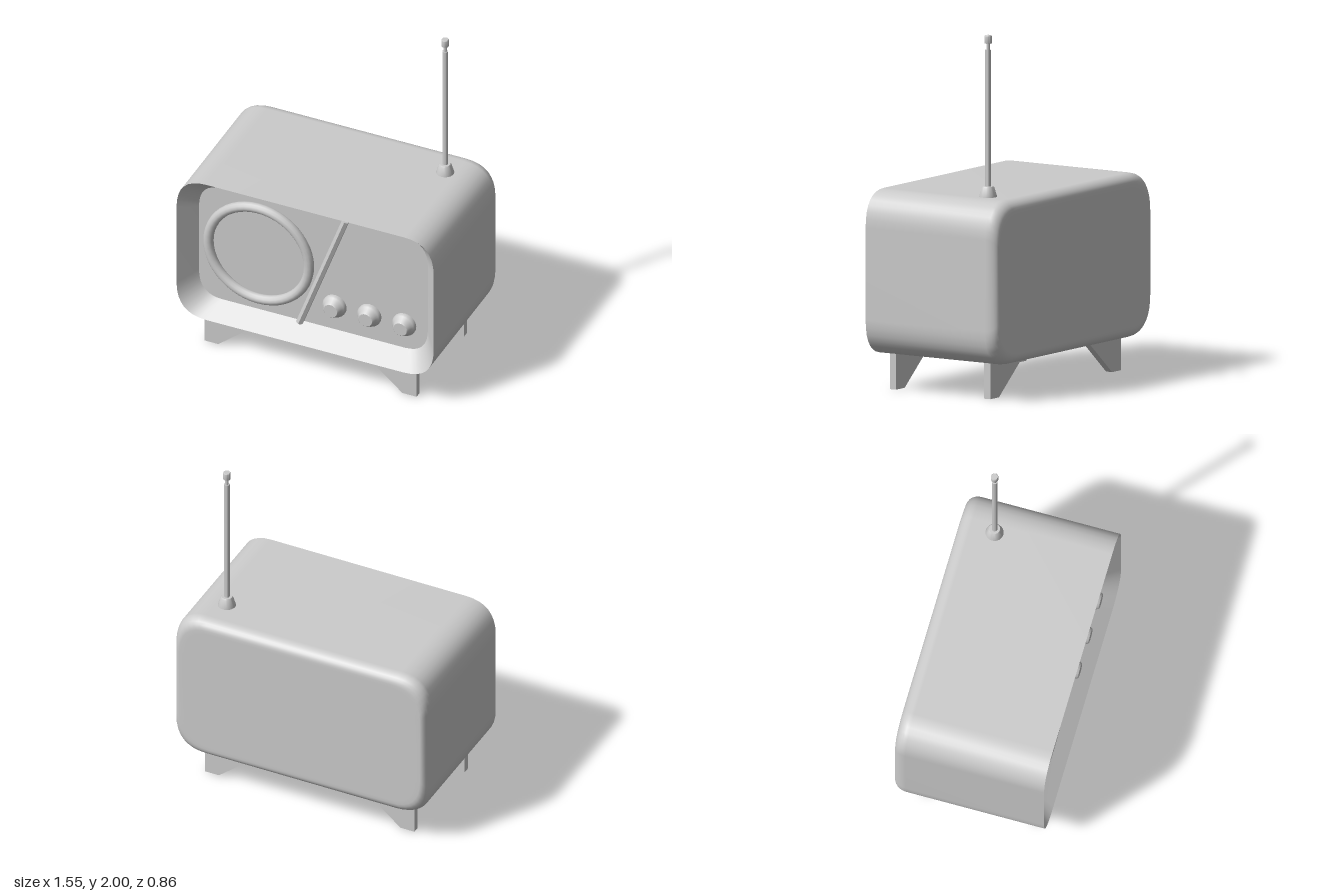
import * as THREE from 'three';
import { toCreasedNormals } from 'three/addons/utils/BufferGeometryUtils.js';

const CY = 0.65; // height of the cabinet's centre
const PANEL_Z = 0.32;
const grey = new THREE.MeshStandardMaterial({ color: 0xcccccc });
const greyFlat = new THREE.MeshStandardMaterial({ color: 0xcccccc, flatShading: true });

function part(parent, name, geometry, x = 0, y = 0, z = 0, material = grey) {
  const mesh = new THREE.Mesh(geometry, material);
  mesh.name = name;
  mesh.position.set(x, y, z);
  parent.add(mesh);
  return mesh;
}

// Rectangle outline with soft corners, anticlockwise seen from the front
function outline(hx, hy, rx, ry) {
  const pts = [];
  const steps = 8;
  for (const [sx, sy, flip] of [[1, 1, 0], [-1, 1, 1], [-1, -1, 0], [1, -1, 1]]) {
    for (let i = 0; i <= steps; i++) {
      const t = flip ? 1 - i / steps : i / steps;
      pts.push([sx * (hx - rx * t * t), sy * (hy - ry * (1 - t) * (1 - t))]);
    }
  }
  return pts;
}

// Skin through outlines [hx, hy, rx, ry, z]; capEnd / capStart close it with a fan
function loft(sections, capStart, capEnd) {
  const pos = [], index = [];
  let n = 0;
  for (const [hx, hy, rx, ry, z] of sections) {
    const ring = outline(hx, hy, rx, ry);
    n = ring.length;
    for (const [x, y] of ring) pos.push(x, y, z);
  }
  for (let s = 0; s < sections.length - 1; s++) {
    for (let i = 0; i < n; i++) {
      const a = s * n + i, b = s * n + (i + 1) % n;
      index.push(a, b, b + n, a, b + n, a + n);
    }
  }
  const cap = (s, forward) => {
    const c = pos.length / 3;
    pos.push(0, 0, sections[s][4]);
    for (let i = 0; i < n; i++) {
      const a = s * n + i, b = s * n + (i + 1) % n;
      index.push(c, ...(forward ? [a, b] : [b, a]));
    }
  };
  if (capStart) cap(0, false);
  if (capEnd) cap(sections.length - 1, true);
  const g = new THREE.BufferGeometry();
  g.setAttribute('position', new THREE.Float32BufferAttribute(pos, 3));
  g.setIndex(index);
  g.computeVertexNormals();
  return g;
}

function lathe(points, segments = 24) {
  return toCreasedNormals(
    new THREE.LatheGeometry(points.map(([r, y]) => new THREE.Vector2(r, y)), segments), 0.6);
}

export function createModel() {
  const radio = new THREE.Group();
  radio.name = 'tableRadio';

  // Cabinet shell: rounded back, straight sides
  const shell = [[0.70, 0.38, 0.16, 0.17, -0.43]];
  for (let i = 0; i <= 6; i++) {
    const a = (i / 6) * Math.PI / 2;
    const k = 1 - Math.sin(a);
    shell.push([0.775 - 0.04 * k, 0.455 - 0.055 * k, 0.18, 0.2, -0.36 - 0.07 * Math.cos(a)]);
  }
  shell.push([0.775, 0.455, 0.18, 0.2, 0.43]);
  part(radio, 'cabinetShell', loft(shell, true, false), 0, CY);

  // Sloping surround from the thin front rim back to the face
  const surround = [[0.775, 0.455, 0.18, 0.2, 0.43], [0.69, 0.372, 0.14, 0.16, PANEL_Z]];
  part(radio, 'frontSurround', loft(surround, false, false), 0, CY);
  part(radio, 'facePanel', loft([[0.3, 0.15, 0.06, 0.06, PANEL_Z], surround[1]].reverse(), false, true), 0, CY);

  // Speaker ring
  part(radio, 'speakerRing', new THREE.TorusGeometry(0.303, 0.029, 12, 48), -0.325, 0.66, PANEL_Z + 0.01);

  // Slanted divider bar
  const from = new THREE.Vector2(-0.08, 0.267), to = new THREE.Vector2(0.197, 1.03);
  const bar = part(radio, 'dividerBar',
    new THREE.CylinderGeometry(0.022, 0.022, from.distanceTo(to), 6),
    (from.x + to.x) / 2, (from.y + to.y) / 2, PANEL_Z + 0.005, greyFlat);
  bar.rotation.z = -Math.atan2(to.x - from.x, to.y - from.y);

  // Control knobs
  const knob = lathe([[0.07, -0.01], [0.07, 0.012], [0.064, 0.024], [0.052, 0.036],
    [0.045, 0.055], [0.04, 0.06], [0, 0.06]]).rotateX(Math.PI / 2);
  for (const x of [0.13, 0.34, 0.55]) part(radio, 'knob', knob, x, 0.438, PANEL_Z);

  // Four tapered plate legs
  for (const side of [1, -1]) {
    const shape = new THREE.Shape([[0.64, 0], [0.64, 0.22], [0.29, 0.22], [0.555, 0]]
      .map(([x, y]) => new THREE.Vector2(side * x, y)));
    const leg = new THREE.ExtrudeGeometry(shape, { depth: 0.04, bevelEnabled: false });
    part(radio, 'frontLeg', leg, 0, 0, 0.32);
    part(radio, 'backLeg', leg, 0, 0, -0.303);
  }

  // Telescopic antenna
  const antenna = new THREE.Group();
  antenna.name = 'antenna';
  antenna.position.set(0.545, 0, -0.225);
  radio.add(antenna);
  part(antenna, 'antennaBase', lathe([[0.05, 1.09], [0.05, 1.105], [0.035, 1.155], [0.03, 1.163], [0, 1.163]]));
  part(antenna, 'antennaRod', lathe([[0.016, 1.15], [0.016, 1.92], [0.01, 1.92], [0.01, 1.97]], 12));
  part(antenna, 'antennaTip', lathe([[0, 1.955], [0.02, 1.955], [0.021, 1.96], [0.021, 1.995], [0.018, 2], [0, 2]], 12));

  return radio;
}
